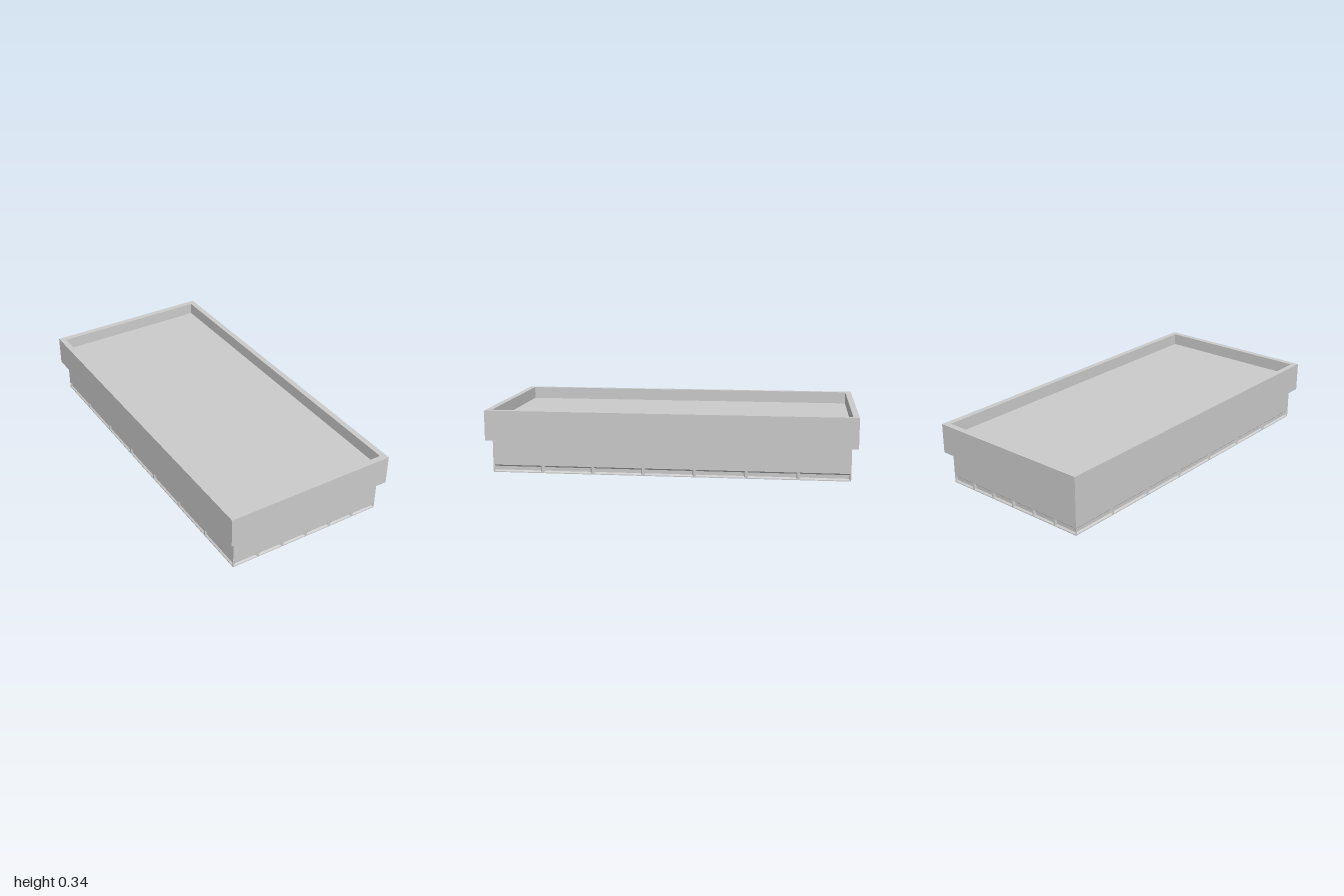
import * as THREE from 'three';

const W = 0.448, D = 0.967;          // half width and depth of the base
const BASE_TOP = 0.18, FLOOR = 0.277, RIM_TOP = 0.345;
const PANEL_LOW = 0.005, PANEL_HIGH = 0.041, BEVEL = 0.008, RECESS = 0.008;

const material = new THREE.MeshStandardMaterial({ color: 0xcccccc, flatShading: true });

function add(parent, name, geometry) {
  const mesh = new THREE.Mesh(geometry, material);
  mesh.name = name;
  parent.add(mesh);
  return mesh;
}

function rectangle(Type, x0, y0, x1, y1) {
  return new Type([[x0, y0], [x1, y0], [x1, y1], [x0, y1]].map(p => new THREE.Vector2(...p)));
}

// Sunken panel: four bevelled sides leading to a flat back
function panelGeometry(x0, y0, x1, y1) {
  const b = BEVEL;
  const positions = [
    x0, y0, 0, x1, y0, 0, x1, y1, 0, x0, y1, 0,
    x0 + b, y0 + b, -RECESS, x1 - b, y0 + b, -RECESS,
    x1 - b, y1 - b, -RECESS, x0 + b, y1 - b, -RECESS,
  ];
  const index = [4, 5, 6, 4, 6, 7];
  for (let i = 0; i < 4; i++) {
    const j = (i + 1) % 4;
    index.push(i, j, j + 4, i, j + 4, i + 4);
  }
  const indexed = new THREE.BufferGeometry();
  indexed.setAttribute('position', new THREE.Float32BufferAttribute(positions, 3));
  indexed.setIndex(index);
  const geometry = indexed.toNonIndexed();
  geometry.computeVertexNormals();
  return geometry;
}

// One base wall with a row of sunken panels along its foot
function baseWall(name, halfLength, count) {
  const wall = new THREE.Group();
  wall.name = name;
  const shape = rectangle(THREE.Shape, -halfLength, 0, halfLength, BASE_TOP);
  const pitch = 2 * halfLength / count;
  for (let i = 0; i < count; i++) {
    const x0 = -halfLength + i * pitch + 0.005;
    const x1 = x0 + pitch - 0.01;
    shape.holes.push(rectangle(THREE.Path, x0, PANEL_LOW, x1, PANEL_HIGH));
    add(wall, 'sunkenPanel', panelGeometry(x0, PANEL_LOW, x1, PANEL_HIGH));
  }
  add(wall, 'wallFace', new THREE.ShapeGeometry(shape));
  return wall;
}

export function createModel() {
  const model = new THREE.Group();
  model.name = 'tray';

  // Base walls, six panels on the ends and seven on the long sides
  const names = ['frontWall', 'leftWall', 'backWall', 'rightWall'];
  names.forEach((name, i) => {
    const end = i % 2 === 0;
    const wall = baseWall(name, end ? W : D, end ? 6 : 7);
    const angle = i * Math.PI / 2;
    const distance = end ? D : W;
    wall.rotation.y = angle;
    wall.position.set(Math.sin(angle) * distance, 0, Math.cos(angle) * distance);
    model.add(wall);
  });

  // Underside of the base
  add(model, 'underside', new THREE.PlaneGeometry(2 * W, 2 * D)).rotation.x = Math.PI / 2;

  // Overhanging rim around the top
  const rim = rectangle(THREE.Shape, -0.48, -1, 0.48, 1);
  rim.holes.push(rectangle(THREE.Path, -W, -D, W, D));
  const rimMesh = add(model, 'rim', new THREE.ExtrudeGeometry(rim, {
    depth: RIM_TOP - BASE_TOP, bevelEnabled: false,
  }));
  rimMesh.rotation.x = -Math.PI / 2;
  rimMesh.position.y = BASE_TOP;

  // Sunken floor inside the rim
  const floor = add(model, 'trayFloor', new THREE.BoxGeometry(2 * W, FLOOR - BASE_TOP, 2 * D));
  floor.position.y = (FLOOR + BASE_TOP) / 2;

  return model;
}
